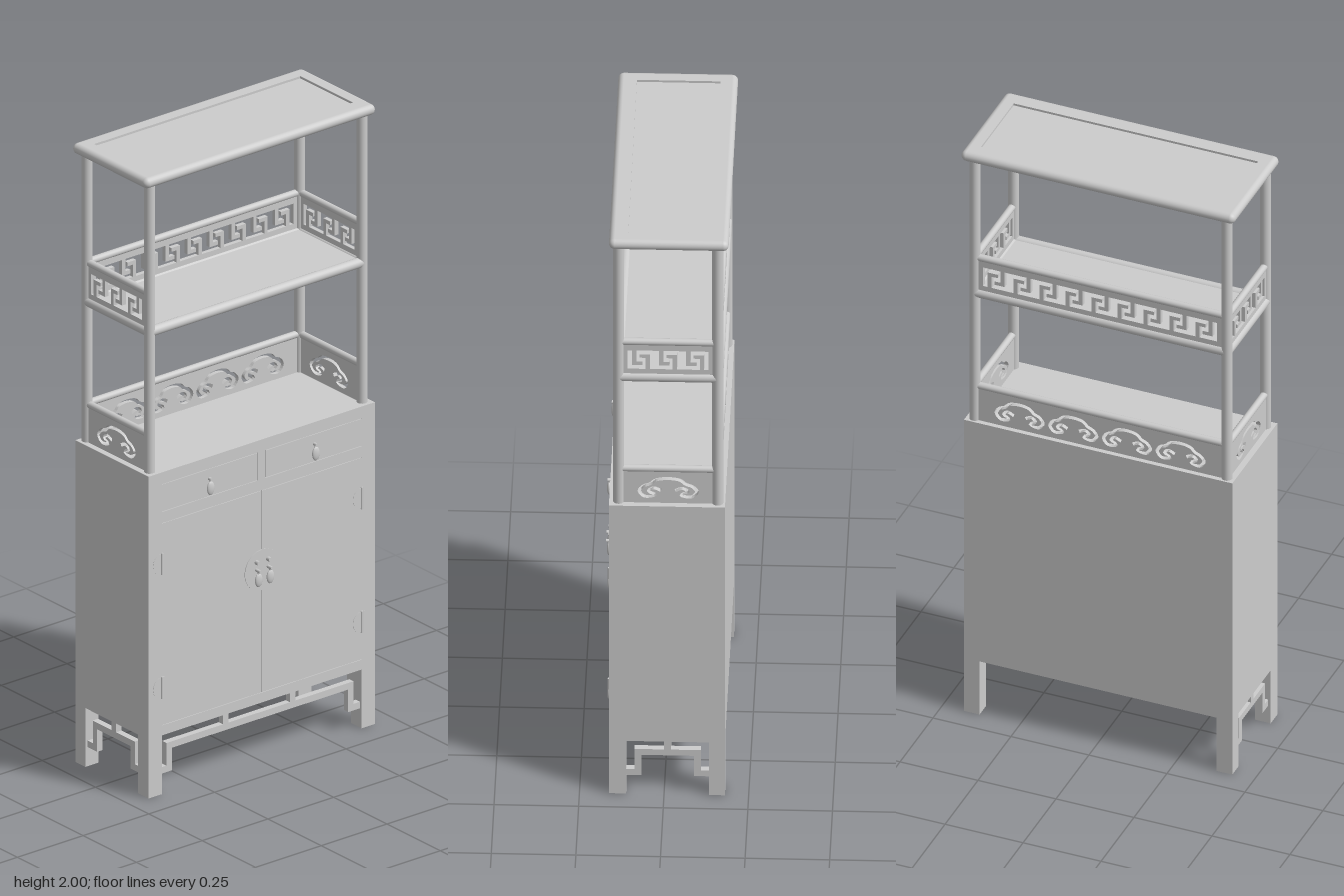
import * as THREE from 'three';

const wood = new THREE.MeshStandardMaterial({ color: 0xcccccc });
wood.name = 'pale grey wood';

const BACK = -0.158, FRONT = 0.135, SIDE = 0.404, MID = (BACK + FRONT) / 2;

function add(parent, name, geometry, x = 0, y = 0, z = 0) {
  const m = new THREE.Mesh(geometry, wood);
  m.name = name;
  m.position.set(x, y, z);
  parent.add(m);
  return m;
}

// box given by its limits on each axis
function box(parent, name, x0, x1, y0, y1, z0, z1) {
  return add(parent, name, new THREE.BoxGeometry(x1 - x0, y1 - y0, z1 - z0),
    (x0 + x1) / 2, (y0 + y1) / 2, (z0 + z1) / 2);
}

// round rod along one axis
function rod(parent, name, axis, length, r, x, y, z) {
  const g = new THREE.CylinderGeometry(r, r, length, 20);
  if (axis === 'x') g.rotateZ(Math.PI / 2);
  if (axis === 'z') g.rotateX(Math.PI / 2);
  return add(parent, name, g, x, y, z);
}

function rect(Type, x0, x1, y0, y1) {
  return new Type([[x0, y0], [x1, y0], [x1, y1], [x0, y1]].map(p => new THREE.Vector2(...p)));
}

function plate(shape, depth) {
  return new THREE.ExtrudeGeometry(shape, { depth, bevelEnabled: false, curveSegments: 12 });
}

// key-pattern panel, centred on x, rising from y = 0
function fretPanel(half, units) {
  const g = new THREE.Group(), t = 0.013, lo = 0.018, hi = 0.084, d = 0.007, end = half - 0.015;
  const frame = rect(THREE.Shape, -half, half, 0, 0.105);
  frame.holes.push(rect(THREE.Path, -end, end, lo, hi));
  add(g, 'fretFrame', plate(frame, 2 * d), 0, 0, -d);
  const p = 2 * end / units;
  for (let i = 0; i < units; i++) {
    const a = -end + (i + 0.25) * p, b = a + p / 2;
    box(g, 'fretStem', a - t / 2, a + t / 2, lo + 0.014, hi, -d, d);
    box(g, 'fretFoot', a + t / 2, b - t / 2 - 0.009, lo + 0.014, lo + 0.026, -d, d);
    box(g, 'fretStem', b - t / 2, b + t / 2, lo, hi - 0.014, -d, d);
    box(g, 'fretCap', a + t / 2 + 0.009, b - t / 2, hi - 0.026, hi - 0.014, -d, d);
  }
  return g;
}

// scrolled cloud line cut as an even-width slot
function cloudSlot(cx, cy, hw, hh, w) {
  const side = [[0.25, -0.3], [0.5, -0.05], [0.68, -0.4], [0.45, -0.8], [0.8, -0.98], [1, -0.4],
    [0.85, 0.15], [0.62, 0.4], [0.4, 0.85]];
  const all = [...side, [0, 1], ...side.slice().reverse().map(([x, y]) => [-x, y])];
  const curve = new THREE.SplineCurve(all.map(([x, y]) => new THREE.Vector2(cx + x * hw, cy + y * hh)));
  const left = [], right = [], n = 72;
  for (let i = 0; i <= n; i++) {
    const p = curve.getPoint(i / n), t = curve.getTangent(i / n);
    left.push(new THREE.Vector2(p.x - t.y * w, p.y + t.x * w));
    right.unshift(new THREE.Vector2(p.x + t.y * w, p.y - t.x * w));
  }
  return new THREE.Path([...left, ...right]);
}

function cloudPanel(half, count, hw) {
  const g = new THREE.Group(), s = rect(THREE.Shape, -half, half, 0, 0.115);
  for (let i = 0; i < count; i++) {
    s.holes.push(cloudSlot((i - (count - 1) / 2) * 0.172, 0.055, hw, 0.033, 0.0055));
  }
  add(g, 'cloudPanel', plate(s, 0.014), 0, 0, -0.007);
  return g;
}

// a panel on the back and both sides, each with a round rail on top
function gallery(parent, name, y, railY, make) {
  const g = new THREE.Group();
  g.name = name;
  const back = make(false);
  back.name = 'backPanel';
  back.position.set(0, y, BACK);
  g.add(back);
  rod(g, 'backRail', 'x', 2 * SIDE, 0.011, 0, railY, BACK);
  for (const s of [-1, 1]) {
    const p = make(true);
    p.name = 'sidePanel';
    p.position.set(s * SIDE, y, MID);
    p.rotation.y = Math.PI / 2;
    g.add(p);
    rod(g, 'sideRail', 'z', FRONT - BACK, 0.011, s * SIDE, railY, MID);
  }
  parent.add(g);
}

// four rods round a rectangle, with rounded corners
function rim(parent, name, hx, z0, z1, y, r) {
  for (const z of [z0, z1]) {
    rod(parent, name, 'x', 2 * hx, r, 0, y, z);
    for (const s of [-1, 1]) add(parent, name + 'Corner', new THREE.SphereGeometry(r, 20, 12), s * hx, y, z);
  }
  for (const s of [-1, 1]) rod(parent, name, 'z', z1 - z0, r, s * hx, y, (z0 + z1) / 2);
}

// stepped bracket under the cabinet, along x between two legs
function apron(x0, x1, struts) {
  const g = new THREE.Group(), t = 0.021, d = 0.01, step = 0.045;
  g.name = 'apron';
  box(g, 'apronBar', x0 + step, x1 - step, 0.135, 0.135 + t, -d, d);
  for (const [a, s] of [[x0, 1], [x1, -1]]) {
    const v = a + s * step, u = v - s * t;
    box(g, 'apronDrop', Math.min(u, v), Math.max(u, v), 0.062, 0.135 + t, -d, d);
    box(g, 'apronFoot', Math.min(a, u), Math.max(a, u), 0.062, 0.062 + t, -d, d);
  }
  for (const x of struts) box(g, 'apronStrut', x - t / 2, x + t / 2, 0.155, 0.192, -d, d);
  return g;
}

// hanging teardrop pull with its stud
function pull(parent, x, y, size, reach) {
  const g = new THREE.Group();
  g.name = 'pull';
  rod(g, 'stud', 'z', reach, size * 0.3, 0, 0, reach / 2);
  const drop = add(g, 'drop', new THREE.SphereGeometry(size, 16, 12), 0, -size * 1.7, reach * 0.6);
  drop.scale.set(0.8, 1.3, 0.35);
  box(g, 'link', -size * 0.2, size * 0.2, -size, 0, reach * 0.5, reach * 0.7);
  g.position.set(x, y, 0.163);
  parent.add(g);
}

export function createModel() {
  const model = new THREE.Group();
  model.name = 'displayCabinet';

  // cabinet body with a framed front
  const cabinet = new THREE.Group();
  cabinet.name = 'cabinet';
  model.add(cabinet);
  box(cabinet, 'carcass', -0.43, 0.43, 0.19, 1.04, -0.18, 0.155);
  const face = rect(THREE.Shape, -0.43, 0.43, 0.19, 1.04);
  const openings = [['drawer', -0.38, -0.015, 0.912, 1.002], ['drawer', 0.015, 0.38, 0.912, 1.002],
    ['door', -0.38, 0, 0.222, 0.876], ['door', 0, 0.38, 0.222, 0.876]];
  face.holes.push(rect(THREE.Path, -0.38, 0.38, 0.222, 0.876));
  for (const [name, x0, x1, y0, y1] of openings) {
    if (name === 'drawer') face.holes.push(rect(THREE.Path, x0, x1, y0, y1));
    const e = 0.0015;
    box(cabinet, name, x0 + e, x1 - e, y0 + e, y1 - e, 0.155, 0.163);
  }
  add(cabinet, 'frontFrame', plate(face, 0.008), 0, 0, 0.155);

  // legs and stepped aprons
  for (const s of [-1, 1]) {
    const x0 = s > 0 ? 0.38 : -0.43;
    box(cabinet, 'frontLeg', x0, x0 + 0.05, 0, 0.19, 0.112, 0.163);
    box(cabinet, 'backLeg', x0, x0 + 0.05, 0, 0.19, -0.18, -0.133);
    const side = apron(-0.112, 0.133, [0.01]);
    side.rotation.y = Math.PI / 2;
    side.position.x = s * 0.412;
    cabinet.add(side);
  }
  const frontApron = apron(-0.38, 0.38, [-0.13, 0.125]);
  frontApron.position.z = 0.145;
  cabinet.add(frontApron);

  // metal fittings
  const fittings = new THREE.Group();
  fittings.name = 'fittings';
  model.add(fittings);
  rod(fittings, 'lockPlate', 'z', 0.003, 0.066, 0, 0.62, 0.1635);
  for (const s of [-1, 1]) {
    pull(fittings, s * 0.2, 0.97, 0.017, 0.012);
    pull(fittings, s * 0.022, 0.625, 0.017, 0.022);
    rod(fittings, 'lockStud', 'z', 0.016, 0.007, s * 0.022, 0.65, 0.17);
    for (const y of [0.745, 0.345]) {
      rod(fittings, 'hingePlate', 'z', 0.002, 0.034, s * 0.38, y, 0.163);
      rod(fittings, 'hingeBarrel', 'y', 0.07, 0.004, s * 0.38, y, 0.164);
    }
  }

  // posts
  for (const x of [-SIDE, SIDE]) for (const z of [BACK, FRONT]) {
    rod(model, 'post', 'y', 0.95, 0.0165, x, 1.505, z);
  }

  // shelves' galleries
  gallery(model, 'cloudGallery', 1.04, 1.16, s => s ? cloudPanel(0.135, 1, 0.085) : cloudPanel(0.39, 4, 0.075));
  gallery(model, 'fretGallery', 1.505, 1.617, s => s ? fretPanel(0.135, 3) : fretPanel(0.39, 9));

  // middle shelf
  rim(model, 'shelfRail', SIDE, BACK, FRONT, 1.492, 0.016);
  box(model, 'shelfBoard', -SIDE, SIDE, 1.482, 1.502, BACK, FRONT);

  // top with round edge and sunken panel
  rim(model, 'topEdge', 0.422, -0.174, 0.146, 1.983, 0.017);
  const top = rect(THREE.Shape, -0.422, 0.422, -0.146, 0.174);
  top.holes.push(rect(THREE.Path, -0.392, 0.392, -0.107, 0.14));
  add(model, 'topFrame', plate(top, 0.034).rotateX(-Math.PI / 2), 0, 1.966, 0);
  box(model, 'topPanel', -0.392, 0.392, 1.974, 1.993, -0.14, 0.107);
  return model;
}
